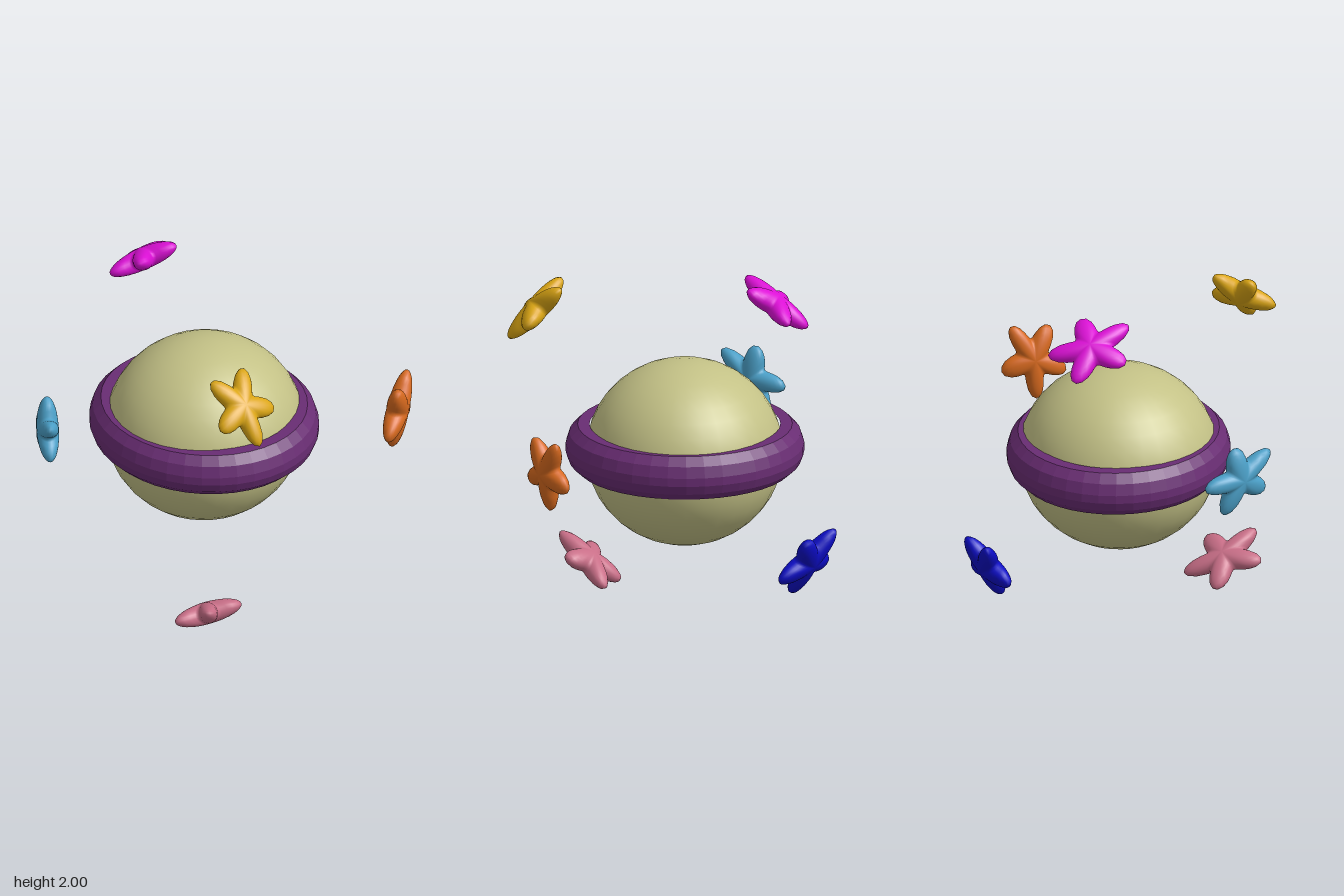
import * as THREE from 'three';
import { mergeVertices } from 'three/addons/utils/BufferGeometryUtils.js';

function material(name, color) {
  const m = new THREE.MeshStandardMaterial({ color });
  m.name = name;
  return m;
}

// Puffy five-pointed star of unit radius in XY: a ball whose outline swells into five arms
function puffyStarGeometry() {
  const ball = new THREE.SphereGeometry(1, 50, 16).rotateX(Math.PI / 2);
  ball.deleteAttribute('uv');
  ball.deleteAttribute('normal');
  const p = ball.attributes.position;
  for (let i = 0; i < p.count; i++) {
    const outline = 0.745 + 0.255 * Math.cos(5 * Math.atan2(p.getY(i), p.getX(i)));
    p.setXY(i, p.getX(i) * outline, p.getY(i) * outline);
  }
  const star = mergeVertices(ball, 1e-4);
  star.computeVertexNormals();
  return star;
}

// Faceted belt with bevelled edges, outer radius 1 before stretching
function beltGeometry() {
  const profile = [
    [0.8, -0.13], [0.9, -0.13], [0.97, -0.085], [1, -0.03],
    [1, 0.02], [0.97, 0.085], [0.9, 0.135], [0.8, 0.135],
  ].map(([r, y]) => new THREE.Vector2(r, y));
  const belt = new THREE.LatheGeometry(profile, 40).scale(0.648, 1, 0.695).toNonIndexed();
  belt.computeVertexNormals();
  return belt;
}

// Each star: name, colour, centre, vector to its first tip, sideways vector in its plane
const STARS = [
  ['magentaStar', 0xdc10d6, [0.02, 1.886, -0.61], [0.035, -0.136, -0.195], [0.245, 0, -0.01]],
  ['yellowStar', 0xdaa514, [-0.448, 1.70, 0.764], [-0.008, -0.187, 0.168], [0.207, 0.006, 0.012]],
  ['orangeStar', 0xd7691e, [0.812, 1.128, 0.718], [-0.027, -0.244, -0.02], [0.171, 0.015, -0.114]],
  ['skyBlueStar', 0x4ba0c8, [-0.844, 1.128, -0.488], [0.144, -0.008, -0.193], [-0.023, 0.214, 0.028]],
  ['deepBlueStar', 0x0c0cc4, [0.594, 0.498, -0.798], [-0.054, -0.211, 0.096], [0.161, -0.014, 0.145]],
  ['pinkStar', 0xc86e87, [-0.446, 0.144, 0.464], [-0.132, 0.131, 0.168], [0.198, 0.025, 0.083]],
];
const STAR_HALF_THICKNESS = 0.065;

export function createModel() {
  const model = new THREE.Group();
  model.name = 'planetWithStars';

  const add = (name, geometry, mat) => {
    const mesh = new THREE.Mesh(geometry, mat);
    mesh.name = name;
    model.add(mesh);
    return mesh;
  };

  // Planet
  const globe = new THREE.SphereGeometry(1, 32, 20).scale(0.585, 0.548, 0.575);
  add('planet', globe, material('khaki', 0xc3c186)).position.set(0.025, 0.982, -0.088);

  // Ring round the planet
  add('ring', beltGeometry(), material('purple', 0x692d73)).position.set(0.024, 1.015, -0.09);

  // Floating stars
  const starShape = puffyStarGeometry();
  for (const [name, color, centre, tip, side] of STARS) {
    const u = new THREE.Vector3(...tip);
    const v = new THREE.Vector3(...side);
    const n = new THREE.Vector3().crossVectors(u, v).setLength(STAR_HALF_THICKNESS);
    const place = new THREE.Matrix4().makeBasis(u, v, n).setPosition(...centre);
    add(name, starShape.clone().applyMatrix4(place), material(name + 'Colour', color));
  }

  return model;
}
